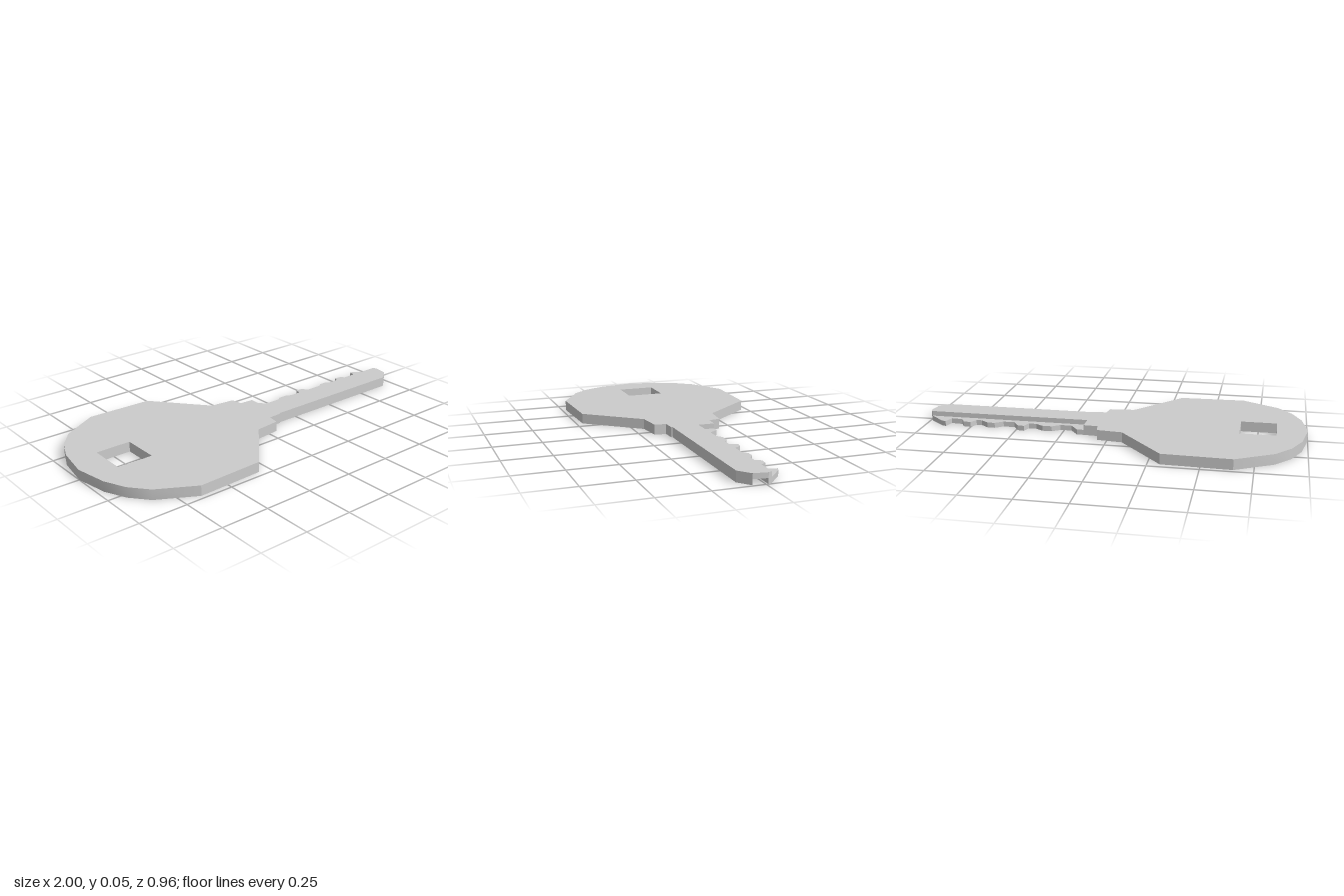
import * as THREE from 'three';
import { toCreasedNormals } from 'three/addons/utils/BufferGeometryUtils.js';

const THICK = 0.053, MID = 0.027;

export function createModel() {
  const key = new THREE.Group();
  key.name = 'key';
  const material = new THREE.MeshStandardMaterial({ color: 0xcccccc });

  // Flat plate from an [x, z] outline, lying between heights y0 and y1
  function plate(name, outline, y0, y1, hole) {
    const toPoints = (list) => list.map(([x, z]) => new THREE.Vector2(x, -z));
    const shape = new THREE.Shape(toPoints(outline));
    if (hole) shape.holes.push(new THREE.Path(toPoints(hole)));
    let geometry = new THREE.ExtrudeGeometry(shape, { depth: y1 - y0, bevelEnabled: false });
    geometry.rotateX(-Math.PI / 2).translate(0, y0, 0);
    geometry = toCreasedNormals(geometry, 0.45);
    const mesh = new THREE.Mesh(geometry, material);
    mesh.name = name;
    key.add(mesh);
  }

  // Head and stepped collar: one side, mirrored across the long axis
  const side = [
    [-0.97, 0.17], [-0.92, 0.28], [-0.845, 0.37], [-0.655, 0.478], [-0.31, 0.467],
    [-0.08, 0.193], [0.05, 0.18], [0.06, 0.12], [0.133, 0.116],
  ];
  const mirrored = side.map(([x, z]) => [x, -z]).reverse();
  plate('head', [[-1, 0], ...side, ...mirrored], 0, THICK,
    [[-0.845, -0.1], [-0.66, -0.1], [-0.66, 0.095], [-0.845, 0.095]]);

  // Upper layer of the blade
  plate('blade', [
    [0.13, -0.03], [0.99, -0.03], [1, -0.01], [0.99, 0.06], [0.93, 0.11], [0.13, 0.11],
  ], MID, THICK);

  // Rail under the plain edge; the gap beside it is the lower groove
  plate('bladeRail', [[0.13, 0.06], [0.99, 0.06], [0.93, 0.11], [0.13, 0.11]], 0, MID);

  // Thin toothed layer on the cut edge
  plate('teeth', [
    [0.13, -0.01], [0.13, -0.115], [0.17, -0.115], [0.21, -0.06], [0.27, -0.06],
    [0.31, -0.09], [0.36, -0.09], [0.4, -0.065], [0.44, -0.065], [0.455, -0.11],
    [0.49, -0.105], [0.52, -0.06], [0.58, -0.06], [0.62, -0.09], [0.66, -0.09],
    [0.7, -0.06], [0.73, -0.06], [0.75, -0.1], [0.79, -0.095], [0.81, -0.06],
    [0.87, -0.055], [0.885, -0.11], [0.91, -0.1], [0.99, -0.03], [1, -0.01],
  ], 0, MID);

  return key;
}
